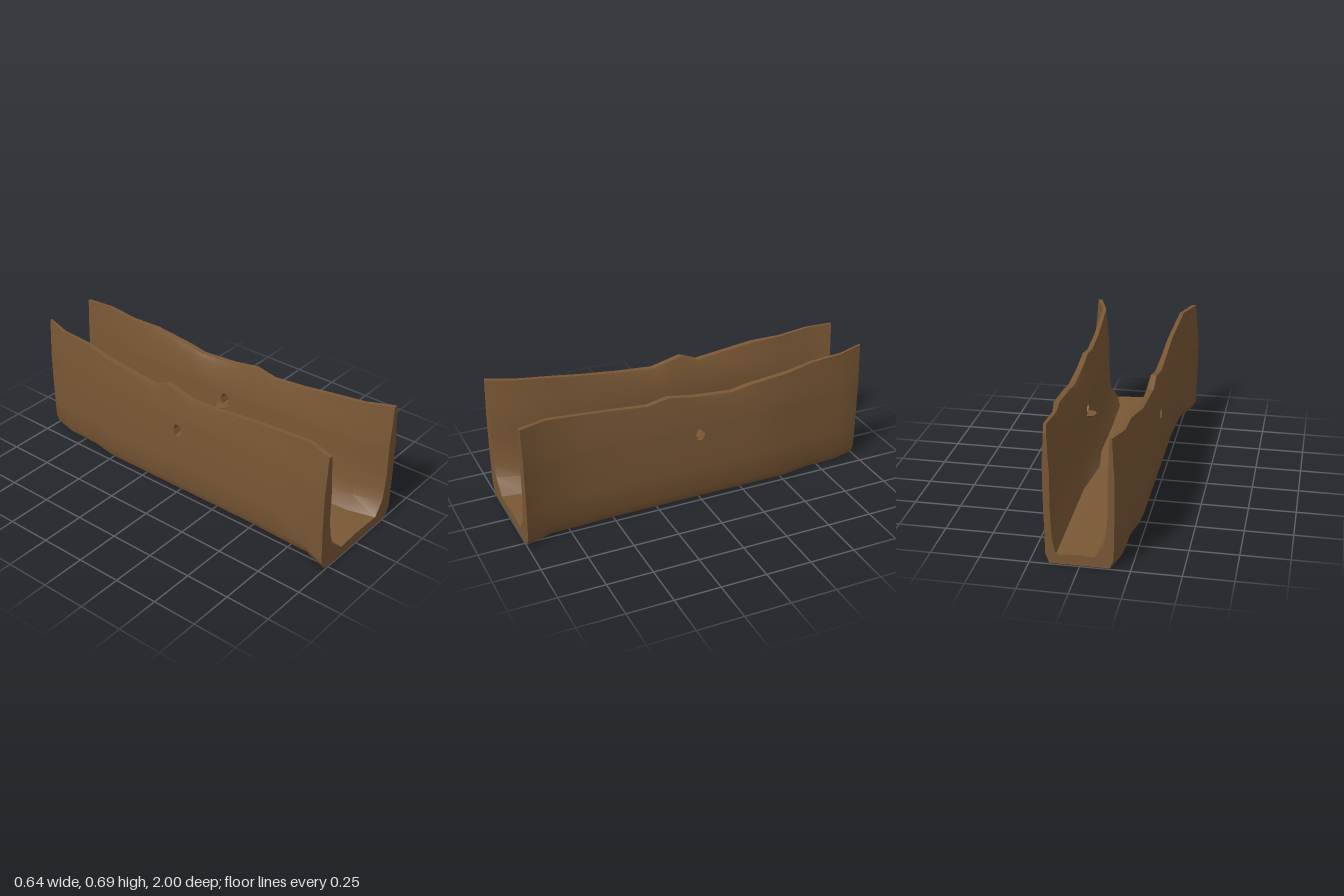
import * as THREE from 'three';
import { toCreasedNormals } from 'three/addons/utils/BufferGeometryUtils.js';

// piecewise-linear lookup in [z, value] pairs, z descending
function at(table, z) {
  for (let i = 1; i < table.length; i++) {
    const [z0, v0] = table[i - 1], [z1, v1] = table[i];
    if (z >= z1) return v0 + (v1 - v0) * (z0 - z) / (z0 - z1);
  }
  return table[table.length - 1][1];
}

// how the trough changes along its length
const halfWidth = [[1, 0.32], [0.85, 0.26], [0.5, 0.24], [-0.52, 0.24], [-0.68, 0.207], [-0.86, 0.21], [-1, 0.172]];
const thickness = [[1, 0.06], [0.85, 0.055], [0.5, 0.062], [0, 0.078], [-0.52, 0.075], [-0.68, 0.05], [-1, 0.032]];
const rim = {
  1: [[1, 0.69], [0.8, 0.68], [0.55, 0.65], [0.3, 0.625], [0.18, 0.648], [0.03, 0.622], [-0.18, 0.605], [-0.3, 0.625], [-0.65, 0.66], [-1, 0.69]],
  '-1': [[1, 0.69], [0.83, 0.685], [0.65, 0.665], [0.3, 0.625], [0.09, 0.608], [0.03, 0.622], [-0.08, 0.648], [-0.18, 0.607], [-0.52, 0.645], [-1, 0.69]],
};
const floorEdge = {
  1: [[1, 0.18], [0.85, 0.14], [0.5, 0.128], [0.18, 0.125], [-0.02, 0.095], [-0.3, 0.125], [-1, 0.115]],
  '-1': [[1, 0.137], [0.65, 0.09], [0.4, 0.055], [0.18, 0.06], [0, 0.11], [-0.2, 0.125], [-0.68, 0.095], [-1, 0.075]],
};
const stations = [1, 0.85, 0.65, 0.5, 0.3, 0.18, 0.09, 0.032, 0.005, -0.022, -0.08, -0.18, -0.3, -0.52, -0.68, -0.86, -1];
const HOLE_K = 7, HOLE_J = 4; // first station and row of the peg hole
const N = 41;

// one wall's profile: up the outside, over the rim, down the inside to the floor
function wallProfile(z, s) {
  const w = at(halfWidth, z), t = at(thickness, z), top = at(rim[s], z), f = at(floorEdge[s], z);
  const base = Math.abs(z) > 0.82 ? 0.005 : 0;
  const outer = [[0.87, base], [0.975, 0.057], [0.99, 0.2], [1, 0.29], [1, 0.367], [1, 0.4], [1, 0.433], [1, 0.48], [0.965, 0.585], [0.94, top]]
    .map(([r, y]) => [w * r, y]);
  const inner = outer.slice(3).reverse().map(([x, y], i) => [x - t * (i === 0 ? 0.4 : i === 1 ? 0.65 : 1), y]);
  const wall = w - t;
  for (const [r, y] of [[0.87, 0.2], [0.7, 0.13], [0, 0.057]]) inner.push([f + (wall - f) * r, y]);
  return [...outer, ...inner].map(([x, y]) => [s * x, y]);
}

function troughGeometry() {
  const pos = [], idx = [];
  const id = (k, i) => k * N + (i % N);

  // rings of points along z; hole corners are drawn in to round the hole
  stations.forEach((z, k) => {
    const ring = [...wallProfile(z, 1), [0, 0.064], ...wallProfile(z, -1).reverse()];
    ring.forEach(([x, y], i) => {
      const h = Math.min(i, 40 - i);
      const corner = (k === HOLE_K || k === HOLE_K + 2) && [4, 6, 13, 15].includes(h);
      pos.push(x, y, corner ? 0.005 + (z - 0.005) * 0.55 : z);
    });
  });

  // skin, leaving the peg holes open
  const inHole = (k, i) => {
    const h = i < 20 ? i : 39 - i;
    return (k === HOLE_K || k === HOLE_K + 1) && [4, 5, 13, 14].includes(h);
  };
  for (let k = 0; k < stations.length - 1; k++) {
    for (let i = 0; i < N; i++) {
      if (inHole(k, i)) continue;
      const a = id(k, i), b = id(k, i + 1), c = id(k + 1, i), d = id(k + 1, i + 1);
      idx.push(a, c, b, b, c, d);
    }
  }

  // hole linings through both walls
  const loop = [[0, 0], [1, 0], [2, 0], [2, 1], [2, 2], [1, 2], [0, 2], [0, 1]];
  for (const s of [1, -1]) {
    const vert = ([dk, dj], inside) => {
      const j = HOLE_J + dj, h = inside ? 19 - j : j;
      return id(HOLE_K + dk, s > 0 ? h : 40 - h);
    };
    loop.forEach((p, n) => {
      const q = loop[(n + 1) % loop.length];
      const a = vert(p, false), b = vert(q, false), c = vert(p, true), d = vert(q, true);
      if (s > 0) idx.push(a, b, c, b, d, c);
      else idx.push(a, c, b, b, c, d);
    });
  }

  // end grain caps
  for (const k of [0, stations.length - 1]) {
    const outline = [];
    for (let i = 0; i < N; i++) outline.push(new THREE.Vector2(pos[3 * id(k, i)], pos[3 * id(k, i) + 1]));
    for (const [a, b, c] of THREE.ShapeUtils.triangulateShape(outline, [])) {
      if (k === 0) idx.push(id(k, a), id(k, b), id(k, c));
      else idx.push(id(k, a), id(k, c), id(k, b));
    }
  }

  const geo = new THREE.BufferGeometry();
  geo.setAttribute('position', new THREE.Float32BufferAttribute(pos, 3));
  geo.setIndex(idx);
  return toCreasedNormals(geo, 0.5);
}

export function createModel() {
  const wood = new THREE.MeshStandardMaterial({ color: 0x7a5835 });
  const group = new THREE.Group();
  group.name = 'woodenTrough';

  const trough = new THREE.Mesh(troughGeometry(), wood);
  trough.name = 'trough';
  group.add(trough);

  // splintered lip below each hole on the inside
  for (const s of [1, -1]) {
    const lip = new THREE.Mesh(toCreasedNormals(new THREE.CylinderGeometry(1, 0.7, 1, 8), 0.5), wood);
    lip.name = s > 0 ? 'leftHoleLip' : 'rightHoleLip';
    lip.scale.set(0.05, 0.011, 0.045);
    lip.position.set(s * 0.162, 0.363, 0);
    group.add(lip);
  }
  return group;
}
